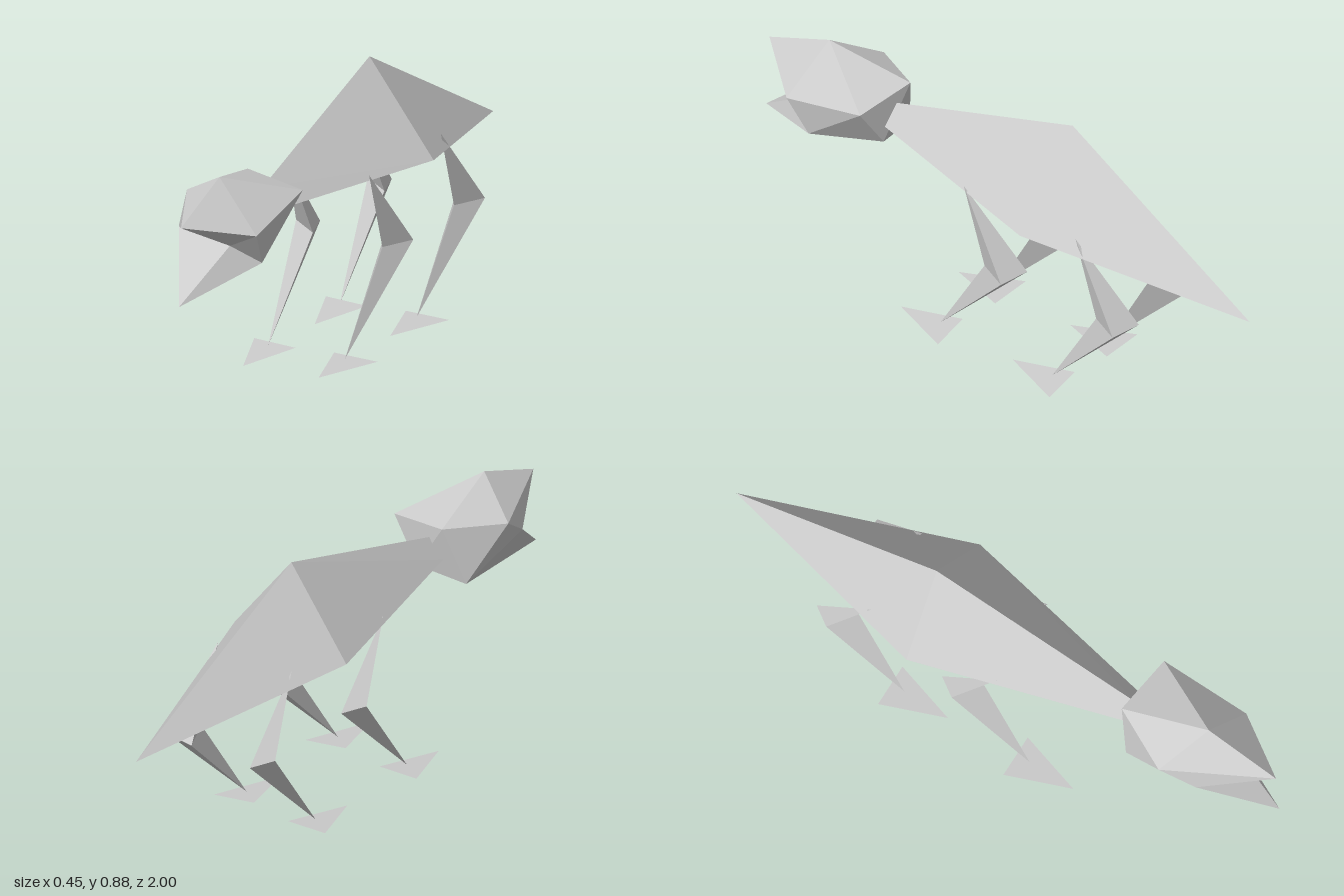
import * as THREE from 'three';
import { ConvexGeometry } from 'three/addons/geometries/ConvexGeometry.js';

const grey = new THREE.MeshStandardMaterial({ color: 0xcccccc, flatShading: true });
grey.name = 'grey';
grey.side = THREE.DoubleSide;

function addMesh(parent, name, geometry) {
  const mesh = new THREE.Mesh(geometry, grey);
  mesh.name = name;
  parent.add(mesh);
  return mesh;
}

// Flat-faced solid around a few corner points
const hull = (points) => new ConvexGeometry(points.map((p) => new THREE.Vector3(...p)));

// Separate triangles, each a list of three corners
function facets(triangles) {
  const g = new THREE.BufferGeometry();
  g.setAttribute('position', new THREE.Float32BufferAttribute(triangles.flat(2), 3));
  g.computeVertexNormals();
  return g;
}

// Head: a pulled icosahedron with a crown, two rings of five and a jaw tip
function headGeometry() {
  const crown = [0, 0.78, 0.74];
  const jaw = [0, 0.425, 1];
  const upper = [
    [0, 0.684, 0.987],        // nose
    [0.158, 0.622, 0.783],    // mouth corner
    [0.156, 0.685, 0.482],    // left back
    [-0.058, 0.712, 0.455],   // back of skull
    [-0.165, 0.685, 0.655],   // right cheek
  ];
  const lower = [
    [0.063, 0.575, 0.785],    // inside of mouth
    [0.137, 0.508, 0.71],     // jaw corner
    [0.055, 0.54, 0.47],      // throat
    [-0.115, 0.515, 0.505],   // right jaw back
    [-0.13, 0.604, 0.77],     // right mouth corner
  ];
  const triangles = [];
  for (let i = 0; i < 5; i++) {
    const j = (i + 1) % 5;
    triangles.push(
      [crown, upper[i], upper[j]],
      [upper[i], lower[i], upper[j]],
      [upper[j], lower[i], lower[j]],
      [jaw, lower[j], lower[i]],
    );
  }
  return facets(triangles);
}

// Corners of a front leg on each side; the hind legs repeat them further back
const legShapes = {
  left: {
    hip: [0.155, 0.605, 0.055],
    knee: [[0.155, 0.34, -0.03], [0.205, 0.34, -0.14], [0.095, 0.34, -0.155]],
    ankle: [0.133, 0.025, 0.17],
    foot: [[0.13, 0.011, 0.335], [0.217, 0.011, 0.11], [0.071, 0.023, 0.13]],
  },
  right: {
    hip: [-0.145, 0.605, 0.05],
    knee: [[-0.096, 0.345, -0.03], [-0.19, 0.355, -0.09], [-0.14, 0.34, -0.155]],
    ankle: [-0.145, 0.02, 0.17],
    foot: [[-0.145, 0.002, 0.33], [-0.074, 0.011, 0.12], [-0.223, 0.018, 0.12]],
  },
};

function makeLeg(name, { hip, knee, ankle, foot }, z) {
  const leg = new THREE.Group();
  leg.name = name;
  addMesh(leg, 'thigh', hull([hip, ...knee]));
  addMesh(leg, 'shin', hull([ankle, ...knee]));
  addMesh(leg, 'foot', facets([foot]));
  leg.position.z = z;
  return leg;
}

export function createModel() {
  const model = new THREE.Group();
  model.name = 'fourLeggedCreature';

  // Body: triangular section, highest over the hips, drawn out to a tail point
  addMesh(model, 'body', hull([
    [0.01, 0.475, -1],
    [-0.015, 0.88, -0.25],
    [0.225, 0.579, -0.235],
    [-0.225, 0.579, -0.235],
    [0, 0.66, 0.47],
    [0.05, 0.595, 0.47],
    [-0.05, 0.595, 0.47],
  ]));

  addMesh(model, 'head', headGeometry());

  for (const [side, shape] of Object.entries(legShapes)) {
    model.add(makeLeg(side + 'FrontLeg', shape, 0));
    model.add(makeLeg(side + 'HindLeg', shape, -0.46));
  }
  return model;
}
